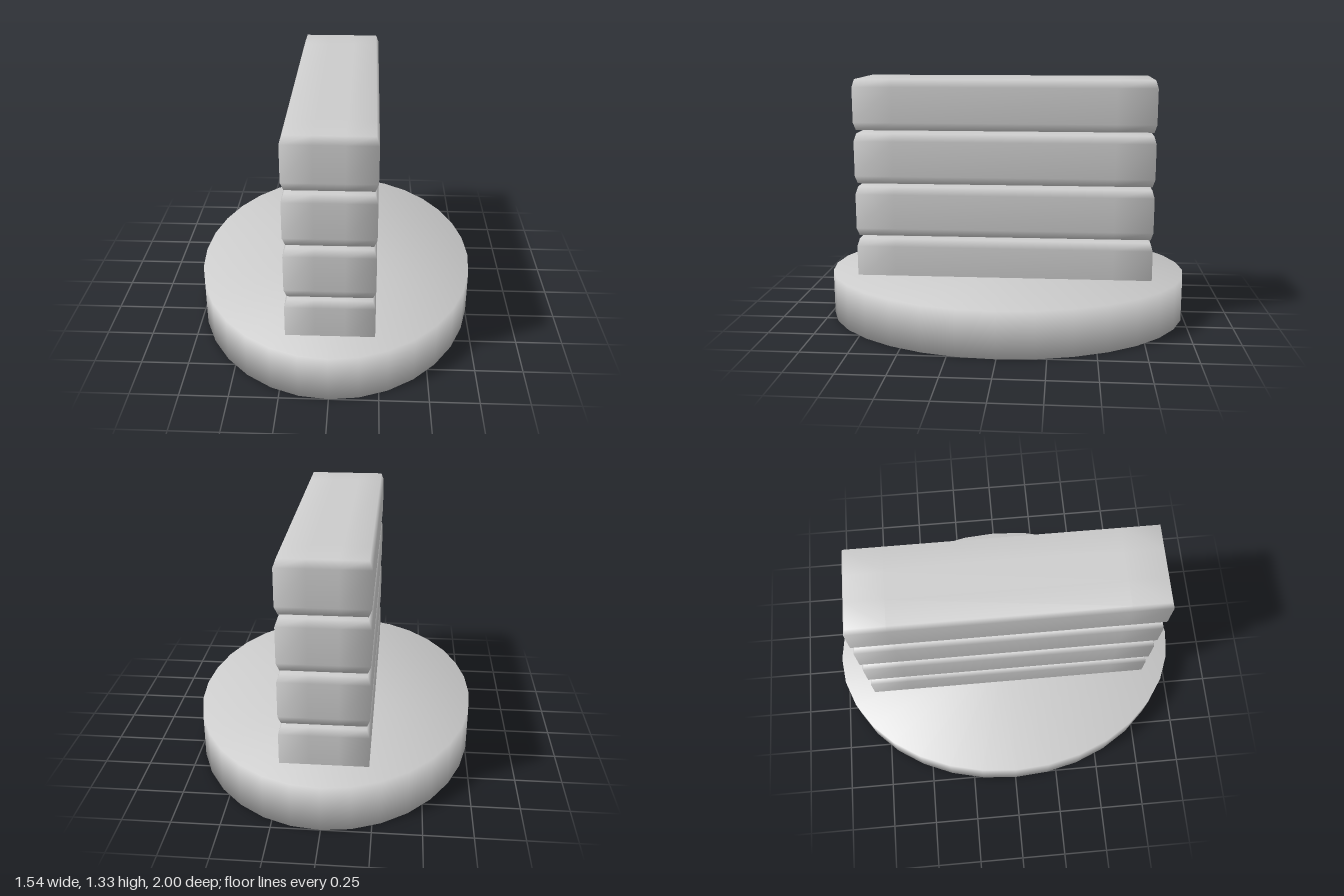
import * as THREE from 'three';
import { mergeVertices } from 'three/addons/utils/BufferGeometryUtils.js';

const material = new THREE.MeshStandardMaterial({ color: 0xcccccc });

// Weld all corners so the normals blend softly across every edge.
function soften(geometry) {
  geometry.deleteAttribute('normal');
  geometry.deleteAttribute('uv');
  const welded = mergeVertices(geometry, 1e-4);
  welded.computeVertexNormals();
  return welded;
}

// Long bar whose top and bottom faces are slightly smaller than its waist.
function slabGeometry() {
  const geometry = new THREE.BoxGeometry(2, 2, 2, 3, 3, 3);
  const p = geometry.attributes.position;
  for (let i = 0; i < p.count; i++) {
    const rim = Math.abs(p.getY(i)) > 0.9;
    const place = (v, outer, inner) => Math.sign(v) * (Math.abs(v) > 0.9 ? outer : inner);
    p.setXYZ(
      i,
      place(p.getX(i), rim ? 0.212 : 0.227, 0.075),
      place(p.getY(i), 0.137, 0.095),
      place(p.getZ(i), rim ? 0.8 : 0.812, 0.6)
    );
  }
  return soften(geometry);
}

export function createModel() {
  const model = new THREE.Group();
  model.name = 'stackedSlabs';

  // Oval base
  const baseShape = new THREE.CylinderGeometry(1, 1, 0.25, 32);
  baseShape.scale(0.77, 1, 1);
  const base = new THREE.Mesh(soften(baseShape), material);
  base.name = 'base';
  base.position.y = 0.125;
  model.add(base);

  // Four slabs, the lowest sunk into the base
  const slab = slabGeometry();
  for (let i = 0; i < 4; i++) {
    const mesh = new THREE.Mesh(slab, material);
    mesh.name = `slab${i + 1}`;
    mesh.position.set(0, 0.32 + i * 0.2925, 0.006);
    model.add(mesh);
  }
  return model;
}
